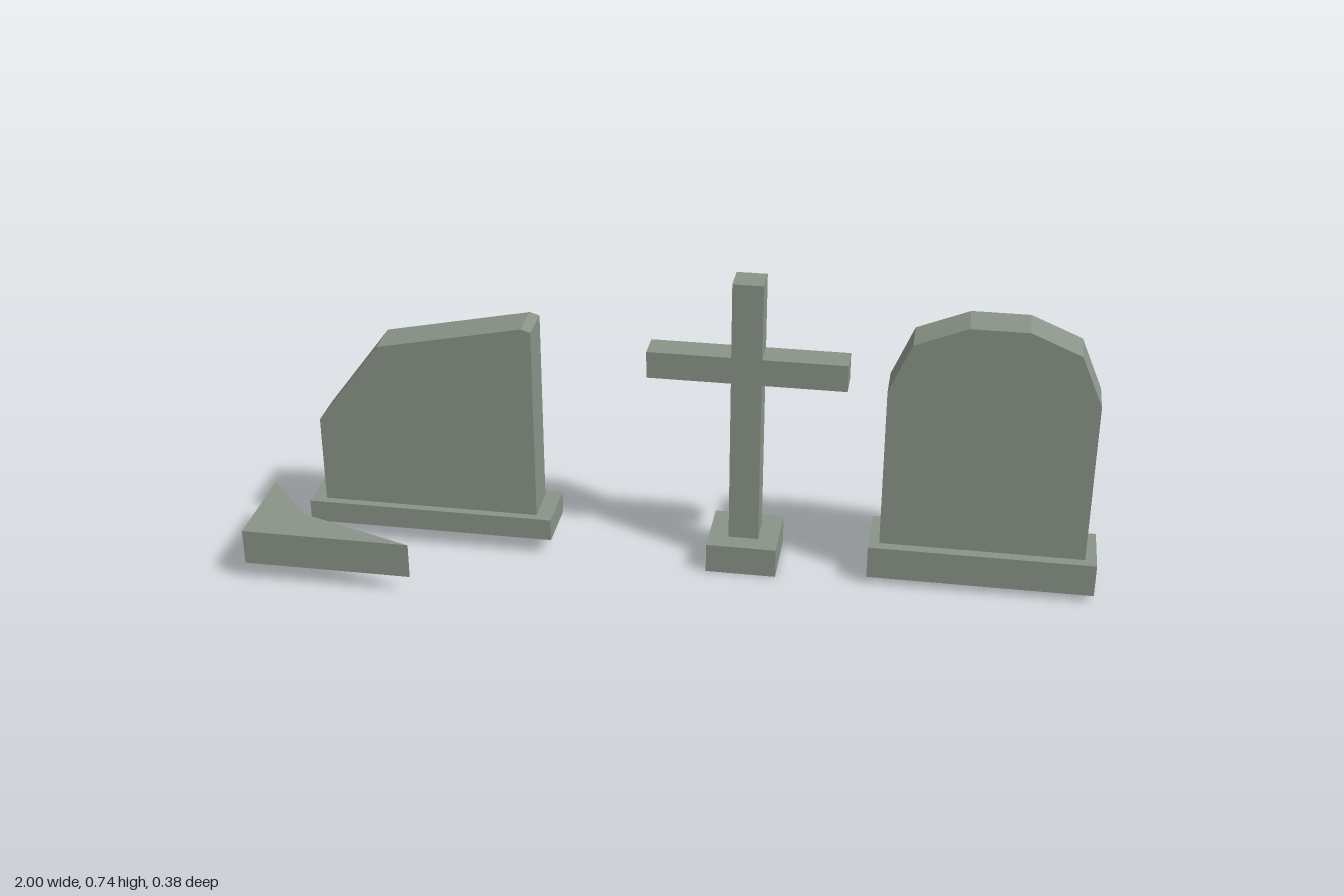
import * as THREE from 'three';

const stone = new THREE.MeshStandardMaterial({ color: 0x8a9488, flatShading: true });
const Z = -0.105; // shared centre line of the standing stones

function add(parent, name, geometry) {
  const mesh = new THREE.Mesh(geometry, stone);
  mesh.name = name;
  parent.add(mesh);
  return mesh;
}

// Box given by its extents in x and y, and a depth centred on Z
function block(parent, name, x0, x1, y0, y1, depth) {
  const mesh = add(parent, name, new THREE.BoxGeometry(x1 - x0, y1 - y0, depth));
  mesh.position.set((x0 + x1) / 2, (y0 + y1) / 2, Z);
}

function prism(points, depth) {
  const shape = new THREE.Shape(points.map(([x, y]) => new THREE.Vector2(x, y)));
  return new THREE.ExtrudeGeometry(shape, { depth, bevelEnabled: false });
}

function slab(parent, name, outline) {
  add(parent, name, prism(outline, 0.1)).position.z = Z - 0.05;
}

function subgroup(parent, name) {
  const group = new THREE.Group();
  group.name = name;
  parent.add(group);
  return group;
}

export function createModel() {
  const model = new THREE.Group();
  model.name = 'gravestones';

  // Broken headstone with a slanted top
  const broken = subgroup(model, 'brokenHeadstone');
  block(broken, 'brokenBase', -0.908, -0.303, 0.042, 0.097, 0.142);
  slab(broken, 'brokenSlab', [
    [-0.872, 0.09], [-0.342, 0.09], [-0.342, 0.585],
    [-0.365, 0.592], [-0.717, 0.52], [-0.872, 0.315],
  ]);

  // Fallen corner lying flat in front of it
  const fragment = add(model, 'fallenFragment', prism([
    [-1, -0.19], [-0.595, -0.19], [-0.88, -0.088], [-1, 0.053],
  ], 0.087));
  fragment.geometry.rotateX(-Math.PI / 2);
  fragment.position.y = 0.044;

  // Cross on a small plinth
  const cross = subgroup(model, 'cross');
  block(cross, 'crossBase', 0.08, 0.248, 0, 0.073, 0.168);
  block(cross, 'crossPost', 0.128, 0.2, 0.07, 0.735, 0.073);
  block(cross, 'crossArm', -0.071, 0.399, 0.484, 0.55, 0.071);

  // Intact headstone with a faceted round top
  const rounded = subgroup(model, 'roundedHeadstone');
  block(rounded, 'roundedBase', 0.466, 1, 0.017, 0.098, 0.152);
  slab(rounded, 'roundedSlab', [
    [0.491, 0.09], [0.973, 0.09], [0.973, 0.498], [0.921, 0.62],
    [0.802, 0.67], [0.666, 0.67], [0.543, 0.62], [0.491, 0.498],
  ]);

  return model;
}
